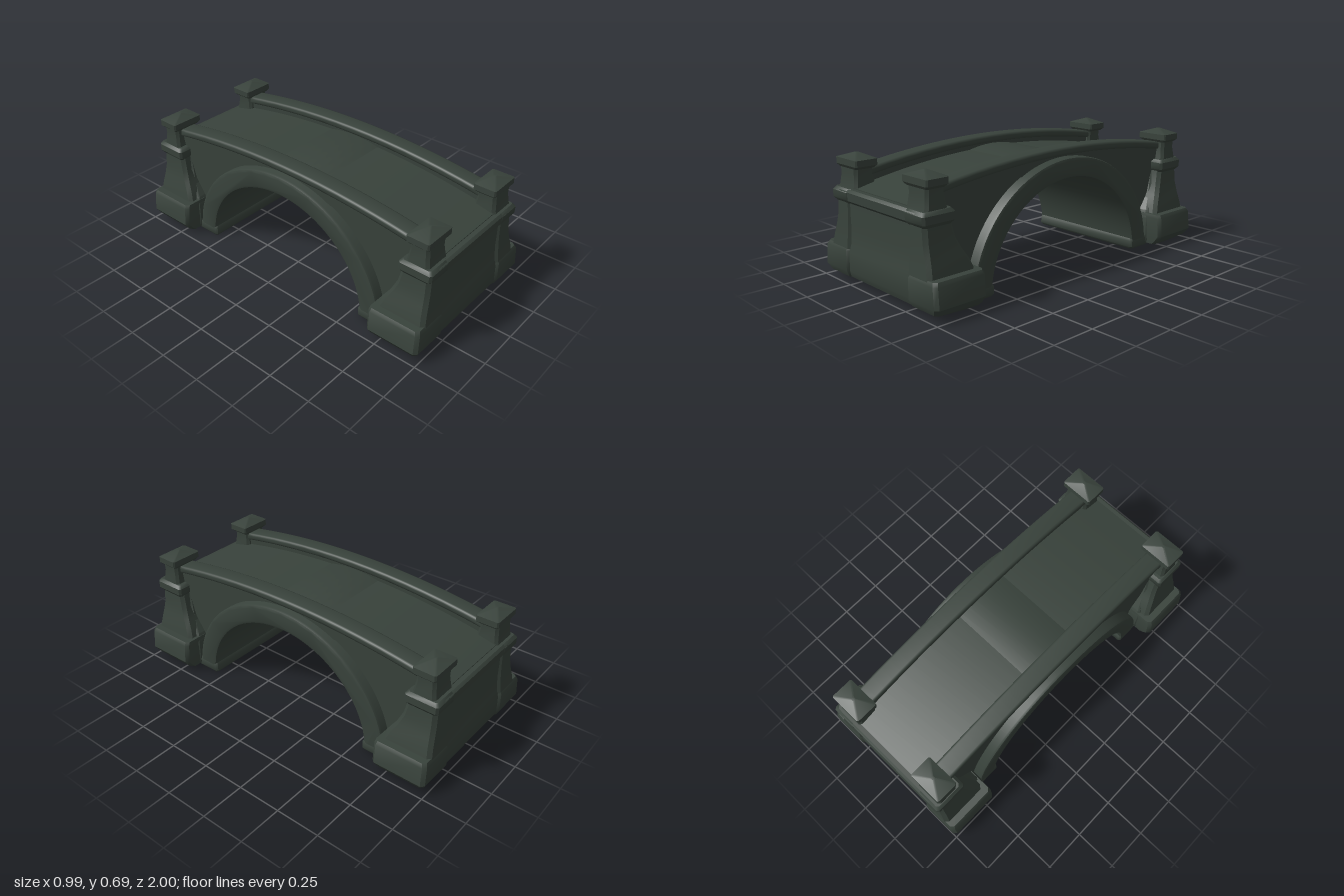
import * as THREE from 'three';
import { toCreasedNormals } from 'three/addons/utils/BufferGeometryUtils.js';

const stone = new THREE.MeshStandardMaterial({ color: 0x38423b });
stone.name = 'dark mossy stone';

const deckY = z => 0.62 - 0.115 * z * z;
const copingY = z => 0.687 - 0.1 * z * z;

function addMesh(parent, name, geometry, crease = 0.65) {
  const mesh = new THREE.Mesh(toCreasedNormals(geometry, crease), stone);
  mesh.name = name;
  parent.add(mesh);
  return mesh;
}

// Samples f(z) from a to b as side-view points (z, y)
function sample(f, a, b, n = 28) {
  return Array.from({ length: n + 1 }, (_, i) => {
    const z = a + (b - a) * i / n;
    return new THREE.Vector2(z, f(z));
  });
}

// Half ellipse over the opening, from z = -rx to z = +rx
function arc(rx, ry, n = 40) {
  return Array.from({ length: n + 1 }, (_, i) => {
    const a = Math.PI * (1 - i / n);
    return new THREE.Vector2(rx * Math.cos(a), ry * Math.sin(a));
  });
}

// Extrudes a side-view outline across x, from x0 to x1, with softened edges
function sideSlab(points, x0, x1, bevel = 0) {
  const geometry = new THREE.ExtrudeGeometry(new THREE.Shape(points), {
    depth: x1 - x0 - 2 * bevel, bevelEnabled: bevel > 0,
    bevelSize: bevel, bevelThickness: bevel, bevelOffset: -bevel, bevelSegments: 2,
  });
  geometry.translate(0, 0, -x1 + bevel);
  return geometry.rotateY(-Math.PI / 2);
}

// Lofts chamfered rectangles; each section is [y, x0, x1, z0, z1]
function loft(sections, sx, sz, chamfer) {
  const pos = [], index = [], n = 8;
  sections.forEach(([y, x0, x1, z0, z1]) => {
    const cx = sx * (x0 + x1) / 2, cz = sz * (z0 + z1) / 2;
    const hx = (x1 - x0) / 2, hz = (z1 - z0) / 2, c = Math.min(chamfer, hx * 0.5, hz * 0.5);
    [[hx, hz - c], [hx - c, hz], [c - hx, hz], [-hx, hz - c],
      [-hx, c - hz], [c - hx, -hz], [hx - c, -hz], [hx, c - hz]]
      .forEach(([x, z]) => pos.push(cx + x, y, cz + z));
  });
  for (let r = 0; r < sections.length - 1; r++) {
    for (let i = 0; i < n; i++) {
      const a = r * n + i, b = r * n + (i + 1) % n;
      index.push(a, a + n, b, b, a + n, b + n);
    }
  }
  const top = (sections.length - 1) * n;
  for (let i = 1; i < n - 1; i++) {
    index.push(0, i, i + 1, top, top + i + 1, top + i);
  }
  const geometry = new THREE.BufferGeometry();
  geometry.setAttribute('position', new THREE.Float32BufferAttribute(pos, 3));
  geometry.setIndex(index);
  geometry.computeVertexNormals();
  return geometry;
}

export function createModel() {
  const bridge = new THREE.Group();
  bridge.name = 'stoneBridge';

  // Spandrel walls and the humped deck
  const archCut = arc(0.62, 0.58);
  addMesh(bridge, 'spandrelAndDeck', sideSlab([
    new THREE.Vector2(-0.95, 0.05), ...sample(deckY, -0.95, 0.95),
    new THREE.Vector2(0.95, 0.05), new THREE.Vector2(0.62, 0.05),
    ...archCut.slice(2, -2).reverse(), new THREE.Vector2(-0.62, 0.05),
  ], -0.325, 0.325));

  // Arch ring with the barrel vault beneath it
  addMesh(bridge, 'archRing',
    sideSlab([...arc(0.685, 0.637), ...arc(0.56, 0.525).reverse()], -0.387, 0.387, 0.016));

  for (const sz of [1, -1]) {
    const end = new THREE.Group();
    end.name = sz > 0 ? 'frontAbutment' : 'backAbutment';
    bridge.add(end);

    // Arch foot
    addMesh(end, 'archFoot', loft([
      [0, -0.38, 0.38, 0.555, 0.70], [0.012, -0.388, 0.388, 0.547, 0.72],
      [0.05, -0.388, 0.388, 0.547, 0.72], [0.068, -0.38, 0.38, 0.558, 0.72],
    ], 1, sz, 0.01));

    // End wall, swelling out to its plinth
    addMesh(end, 'endWall', loft([
      [0.012, -0.39, 0.39, 0.68, 0.82], [0.034, -0.40, 0.40, 0.68, 0.975],
      [0.07, -0.40, 0.40, 0.68, 0.988], [0.17, -0.40, 0.40, 0.68, 0.986],
      [0.215, -0.38, 0.38, 0.70, 0.975], [0.3, -0.35, 0.35, 0.76, 0.967],
      [0.45, -0.33, 0.33, 0.80, 0.965],
    ], 1, sz, 0.01));

    // Ledge at the deck's end
    addMesh(end, 'endLedge', loft([
      [0.435, -0.33, 0.33, 0.82, 0.966], [0.452, -0.34, 0.34, 0.82, 0.985],
      [0.498, -0.34, 0.34, 0.82, 0.988], [0.512, -0.33, 0.33, 0.82, 0.975],
    ], 1, sz, 0.008));

    for (const sx of [1, -1]) {
      const pier = new THREE.Group();
      pier.name = sx > 0 ? 'leftPier' : 'rightPier';
      end.add(pier);

      // Plinth block
      addMesh(pier, 'plinth', loft([
        [0.014, 0.27, 0.45, 0.69, 0.82], [0.034, 0.265, 0.472, 0.688, 0.982],
        [0.07, 0.26, 0.497, 0.685, 1.0], [0.18, 0.26, 0.487, 0.685, 0.998],
        [0.2, 0.265, 0.475, 0.69, 0.988],
      ], sx, sz, 0.018));

      // Flared shaft
      addMesh(pier, 'shaft', loft([
        [0.19, 0.255, 0.438, 0.705, 0.992], [0.25, 0.255, 0.424, 0.728, 0.985],
        [0.3, 0.255, 0.408, 0.758, 0.98], [0.36, 0.255, 0.393, 0.785, 0.976],
        [0.45, 0.255, 0.385, 0.805, 0.974],
      ], sx, sz, 0.02));

      // Collar in line with the ledge
      addMesh(pier, 'collar', loft([
        [0.435, 0.25, 0.386, 0.81, 0.972], [0.455, 0.245, 0.402, 0.795, 0.988],
        [0.495, 0.245, 0.402, 0.795, 0.99], [0.513, 0.25, 0.388, 0.81, 0.975],
      ], sx, sz, 0.012));

      // Post and its pyramid cap
      addMesh(pier, 'post', loft([
        [0.49, 0.218, 0.386, 0.822, 0.965], [0.53, 0.22, 0.383, 0.83, 0.955],
        [0.58, 0.227, 0.376, 0.838, 0.949], [0.64, 0.222, 0.38, 0.838, 0.949],
      ], sx, sz, 0.015));
      addMesh(pier, 'cap', loft([
        [0.615, 0.215, 0.38, 0.838, 0.95], [0.63, 0.198, 0.396, 0.828, 0.96],
        [0.664, 0.198, 0.396, 0.828, 0.96], [0.693, 0.287, 0.305, 0.885, 0.902],
      ], sx, sz, 0.008), 0.35);
    }
  }

  // Parapets with rounded coping
  for (const sx of [1, -1]) {
    const parapet = new THREE.Group();
    parapet.name = sx > 0 ? 'leftParapet' : 'rightParapet';
    bridge.add(parapet);
    const strip = (top, bottom, x0, x1, bevel) => sideSlab(
      [...sample(top, -0.86, 0.86), ...sample(bottom, 0.86, -0.86)],
      sx > 0 ? x0 : -x1, sx > 0 ? x1 : -x0, bevel);
    addMesh(parapet, 'parapetWall',
      strip(z => copingY(z) - 0.015, z => deckY(z) - 0.04, 0.248, 0.331, 0));
    addMesh(parapet, 'coping',
      strip(copingY, z => copingY(z) - 0.045, 0.235, 0.345, 0.014), 0.9);
  }
  return bridge;
}
